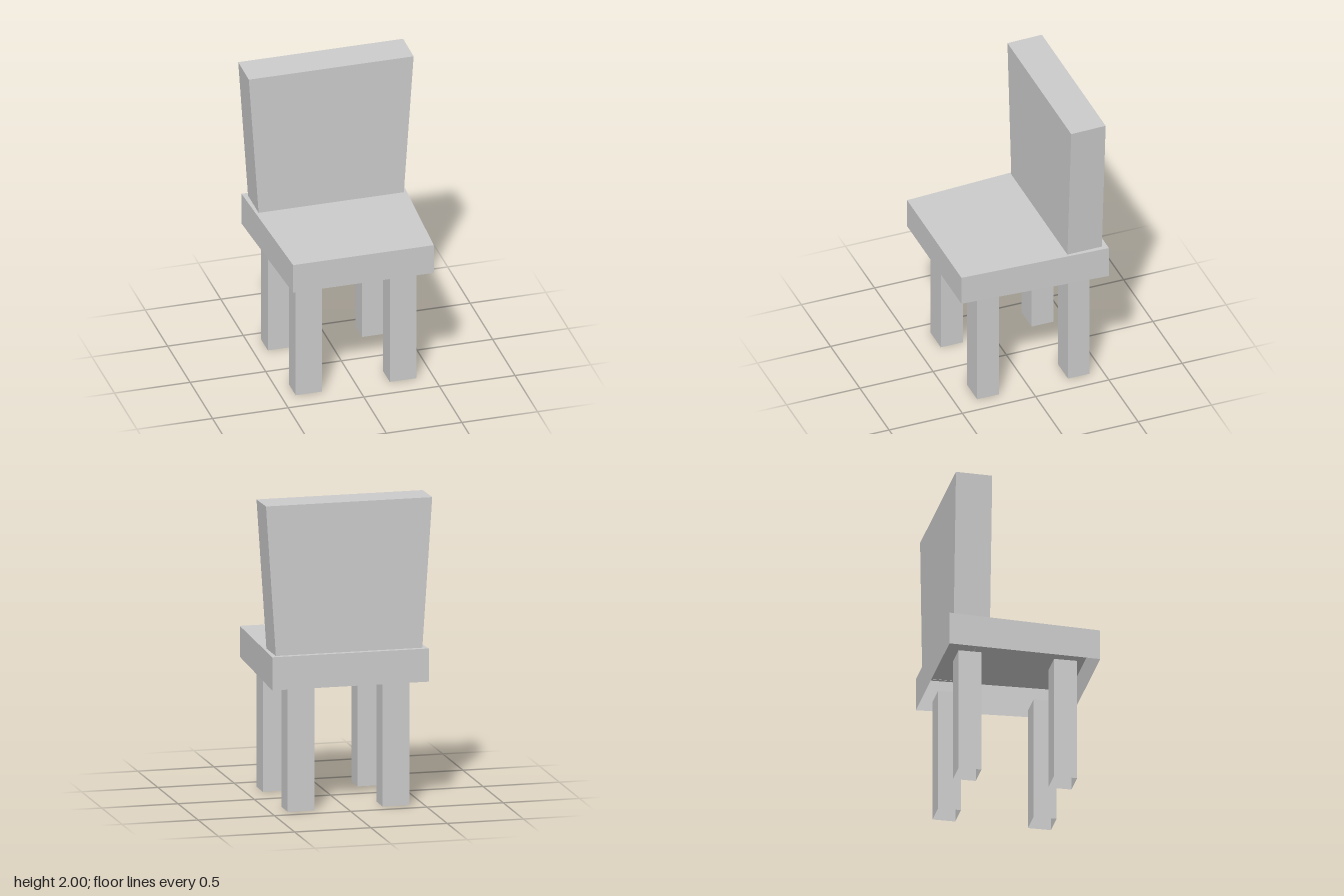
import * as THREE from 'three';

const material = new THREE.MeshStandardMaterial({
  color: 0xcccccc, flatShading: true, side: THREE.DoubleSide,
});

// Hollow block with some faces left out; place(u, v, w) maps the corners of a unit cube (0..1)
function openBlock(name, omittedFaces, place) {
  const geometry = new THREE.BoxGeometry(1, 1, 1);
  const p = geometry.attributes.position;
  for (let i = 0; i < p.count; i++) {
    p.setXYZ(i, ...place(p.getX(i) + 0.5, p.getY(i) + 0.5, p.getZ(i) + 0.5));
  }
  // six indices per face, in the order +x, -x, +y, -y, +z, -z
  const kept = Array.from(geometry.index.array)
    .filter((_, i) => !omittedFaces.includes(Math.floor(i / 6)));
  geometry.setIndex(kept);
  geometry.clearGroups();
  geometry.computeVertexNormals();
  const mesh = new THREE.Mesh(geometry, material);
  mesh.name = name;
  return mesh;
}

const mix = THREE.MathUtils.lerp;
const TOP = 2, BOTTOM = 3;

export function createModel() {
  const chair = new THREE.Group();
  chair.name = 'chair';

  // Seat: wider and slightly thicker at the back, open underneath
  chair.add(openBlock('seat', [BOTTOM], (u, v, w) => [
    mix(-1, 1, u) * mix(0.513, 0.465, w),
    v ? mix(1.027, 1.02, w) : mix(0.812, 0.82, w),
    mix(-0.495, 0.492, w),
  ]));

  // Backrest: flares towards the top
  chair.add(openBlock('backrest', [BOTTOM], (u, v, w) => [
    mix(-1, 1, u) * mix(0.48, 0.545, v),
    v ? mix(2, 1.996, w) : 1.024,
    mix(-0.46, -0.225, w),
  ]));

  // Legs: square tubes
  const sides = { right: [-0.407, -0.232], left: [0.215, 0.39] };
  const rows = { front: [0.205, 0.355], back: [-0.413, -0.265] };
  for (const [row, z] of Object.entries(rows)) {
    for (const [side, x] of Object.entries(sides)) {
      const name = row + (side === 'left' ? 'Left' : 'Right') + 'Leg';
      chair.add(openBlock(name, [TOP, BOTTOM], (u, v, w) =>
        [mix(...x, u), v * 0.82, mix(...z, w)]));
    }
  }
  return chair;
}
